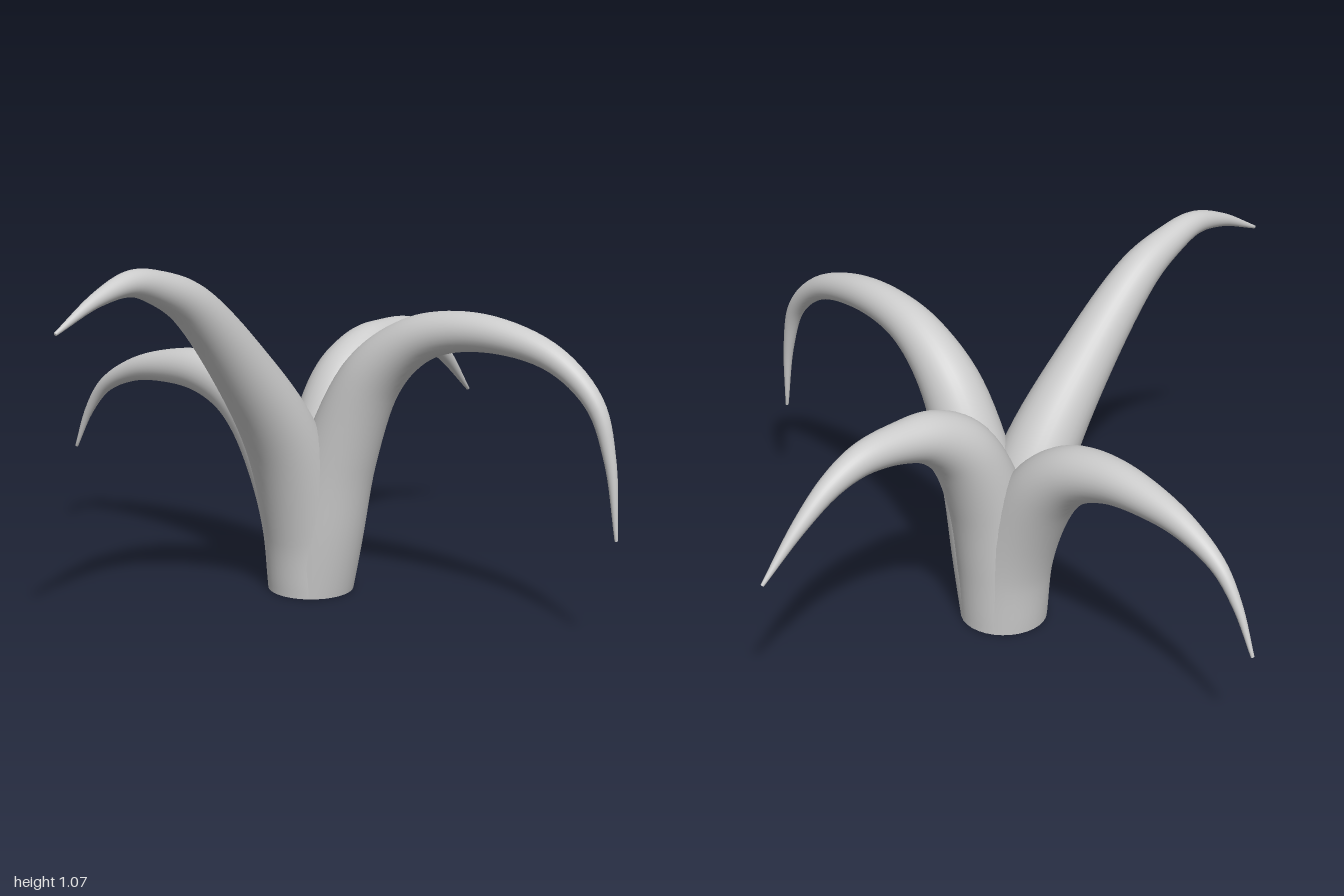
import * as THREE from 'three';

const material = new THREE.MeshStandardMaterial({ color: 0xcccccc });
const SIDES = 32, STEPS = 64;

// Tapered limb bending outward along +x; each point is [distance out, height, radius]
function limbGeometry(points) {
  const curve = new THREE.CatmullRomCurve3(points.map((p) => new THREE.Vector3(...p)));
  const positions = [], index = [];
  for (let i = 0; i <= STEPS; i++) {
    const t = i / STEPS;
    const c = curve.getPoint(t), d = curve.getTangent(t);
    // the foot ring lies flat, later rings stand square to the path
    const lean = Math.min(1, t * 10);
    const dir = new THREE.Vector2(d.x * lean, d.y).normalize();
    for (let j = 0; j < SIDES; j++) {
      const a = (j / SIDES) * Math.PI * 2;
      const n = Math.cos(a) * c.z;
      positions.push(c.x - dir.y * n, c.y + dir.x * n, Math.sin(a) * c.z);
      if (i < STEPS) {
        const k = (j + 1) % SIDES, r = i * SIDES, s = r + SIDES;
        index.push(r + j, r + k, s + k, r + j, s + k, s + j);
      }
    }
  }
  // close the tip
  const [x, y] = points[points.length - 1];
  const tip = positions.length / 3, last = STEPS * SIDES;
  positions.push(x, y, 0);
  for (let j = 0; j < SIDES; j++) index.push(last + j, last + ((j + 1) % SIDES), tip);

  const geometry = new THREE.BufferGeometry();
  geometry.setAttribute('position', new THREE.Float32BufferAttribute(positions, 3));
  geometry.setIndex(index);
  geometry.computeVertexNormals();
  return geometry;
}

const limbs = [
  { name: 'rightLimb', turn: Math.PI, points: [
    [0, 0, 0.13], [0.03, 0.2, 0.125], [0.135, 0.475, 0.112], [0.336, 0.736, 0.086], [0.55, 0.945, 0.063],
    [0.68, 1.01, 0.048], [0.79, 1.038, 0.036], [0.92, 1.015, 0.021], [1.08, 0.948, 0.005]] },
  { name: 'leftLimb', turn: 0, points: [
    [0, 0, 0.13], [0.02, 0.2, 0.125], [0.07, 0.42, 0.113], [0.162, 0.605, 0.098], [0.27, 0.685, 0.078],
    [0.38, 0.71, 0.06], [0.52, 0.71, 0.046], [0.63, 0.67, 0.034], [0.74, 0.59, 0.022], [0.875, 0.46, 0.005]] },
  { name: 'frontLimb', turn: -Math.PI / 2, points: [
    [0, 0, 0.13], [0.045, 0.2, 0.125], [0.105, 0.425, 0.112], [0.215, 0.67, 0.092], [0.335, 0.785, 0.074],
    [0.455, 0.837, 0.062], [0.635, 0.851, 0.051], [0.825, 0.805, 0.037], [0.95, 0.7, 0.027],
    [1.003, 0.55, 0.017], [1.031, 0.33, 0.005]] },
  { name: 'backLimb', turn: Math.PI / 2, points: [
    [0, 0, 0.13], [0.03, 0.2, 0.125], [0.1, 0.37, 0.113], [0.19, 0.504, 0.1], [0.29, 0.58, 0.085],
    [0.425, 0.617, 0.067], [0.57, 0.613, 0.051], [0.705, 0.583, 0.036], [0.827, 0.517, 0.023],
    [0.9, 0.424, 0.014], [0.96, 0.295, 0.005]] },
];

export function createModel() {
  const model = new THREE.Group();
  model.name = 'fourLimbedStalk';

  for (const { name, turn, points } of limbs) {
    const limb = new THREE.Mesh(limbGeometry(points), material);
    limb.name = name;
    limb.rotation.y = turn;
    limb.position.set(0.1, 0, -0.035);
    model.add(limb);
  }

  // flat underside shared by all limbs
  const base = new THREE.Mesh(new THREE.CircleGeometry(0.13, SIDES), material);
  base.name = 'base';
  base.rotation.x = Math.PI / 2;
  base.position.set(0.1, 0, -0.035);
  model.add(base);

  return model;
}
